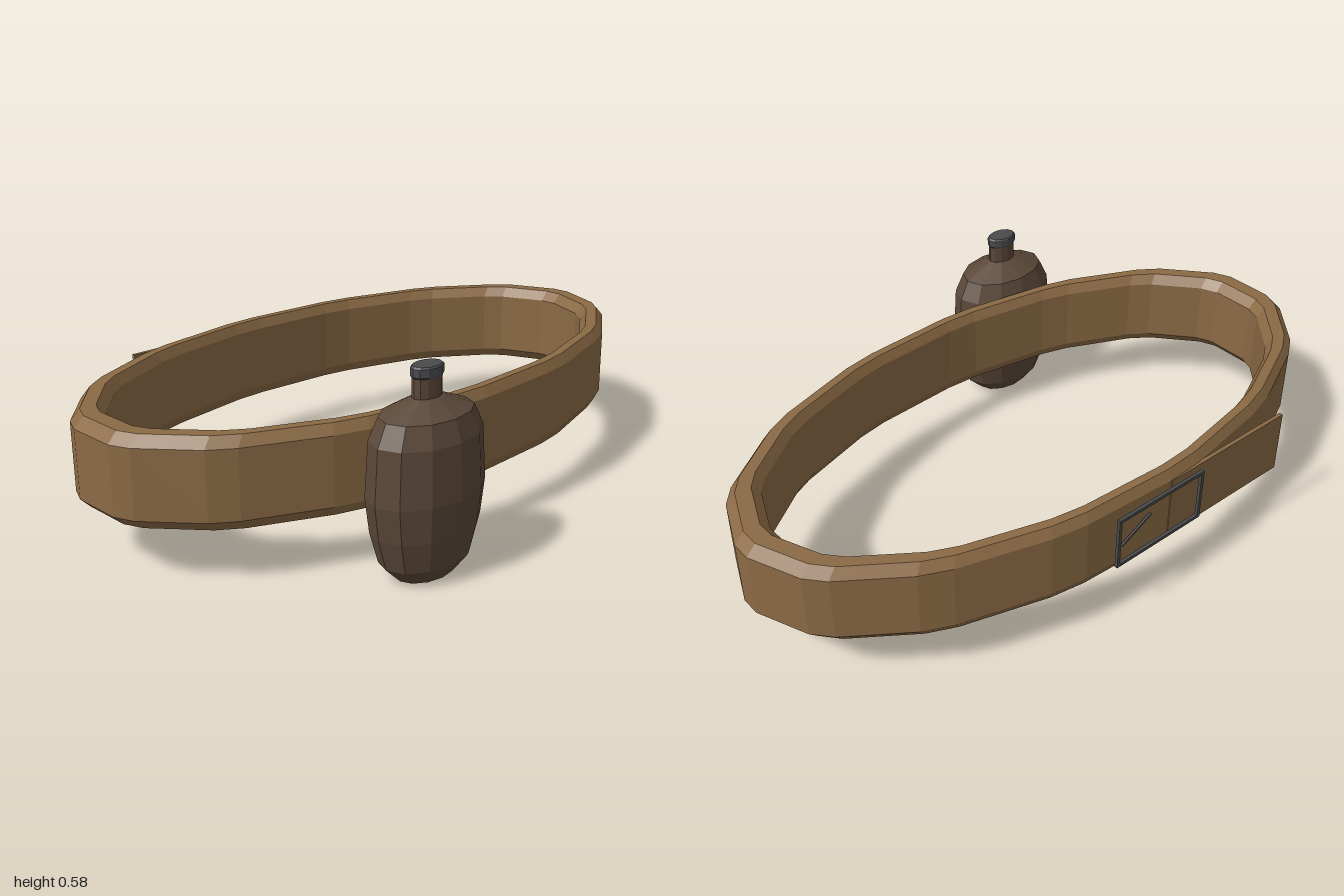
import * as THREE from 'three';

const material = (color) =>
  new THREE.MeshStandardMaterial({ color, flatShading: true });
const leather = material(0x8b6a45);
const flaskBrown = material(0x5b4839);
const metal = material(0x4a4b4d);

function add(parent, name, geometry, mat, x = 0, y = 0, z = 0) {
  const mesh = new THREE.Mesh(geometry, mat);
  mesh.name = name;
  mesh.position.set(x, y, z);
  parent.add(mesh);
  return mesh;
}

// Oval band: a bevelled cross-section swept round 15 chamfered corners
function bandGeometry() {
  const section = [ // [radius factor, height]
    [1, 0.19], [1, 0.39], [0.97, 0.42], [0.922, 0.42],
    [0.895, 0.39], [0.895, 0.19], [0.922, 0.16], [0.97, 0.16],
  ];
  const angles = [];
  for (let k = 0; k < 15; k++) {
    for (const chamfer of [-3.3, 3.3]) {
      angles.push(THREE.MathUtils.degToRad(k * 24 + chamfer));
    }
  }
  const positions = [];
  const index = [];
  const n = section.length;
  angles.forEach((a, i) => {
    const next = (i + 1) % angles.length;
    section.forEach(([r, y], j) => {
      positions.push(-0.09 + 0.523 * r * Math.sin(a), y, 0.005 - 1.006 * r * Math.cos(a));
      const up = (j + 1) % n;
      const p = i * n + j, q = i * n + up, s = next * n + up, t = next * n + j;
      index.push(p, q, s, p, s, t);
    });
  });
  const geometry = new THREE.BufferGeometry();
  geometry.setAttribute('position', new THREE.Float32BufferAttribute(positions, 3));
  geometry.setIndex(index);
  const flat = geometry.toNonIndexed();
  flat.computeVertexNormals();
  return flat;
}

// Thin rectangular buckle frame with a slanted prong
function createBuckle() {
  const buckle = new THREE.Group();
  buckle.name = 'buckle';
  for (const side of [-1, 1]) {
    add(buckle, 'frameUpright', new THREE.BoxGeometry(0.01, 0.17, 0.01),
      metal, 0, 0, side * 0.16);
    add(buckle, 'frameRail', new THREE.BoxGeometry(0.01, 0.01, 0.33),
      metal, 0, side * 0.08, 0);
  }
  const prongPath = new THREE.LineCurve3(
    new THREE.Vector3(0, -0.015, -0.15), new THREE.Vector3(0.02, 0.015, -0.02));
  add(buckle, 'prong', new THREE.TubeGeometry(prongPath, 1, 0.005, 5), metal);
  buckle.position.set(-0.63, 0.295, -0.005);
  return buckle;
}

// Flattened flask with a neck and a cap
function createFlask() {
  const flask = new THREE.Group();
  flask.name = 'flask';
  const profile = [
    [0, 0], [0.065, 0], [0.1, 0.05], [0.118, 0.14], [0.127, 0.24],
    [0.12, 0.395], [0.1, 0.455], [0.032, 0.495], [0.032, 0.55],
  ].map(([r, y]) => new THREE.Vector2(r, y));
  add(flask, 'flaskBody', new THREE.LatheGeometry(profile, 12), flaskBrown);
  const capProfile = [
    [0, 0.548], [0.032, 0.548], [0.035, 0.553], [0.035, 0.575], [0.031, 0.58], [0, 0.58],
  ].map(([r, y]) => new THREE.Vector2(r, y));
  add(flask, 'flaskCap', new THREE.LatheGeometry(capProfile, 12), metal);
  flask.scale.z = 1.48;
  flask.position.set(0.503, 0, 0.375);
  return flask;
}

export function createModel() {
  const model = new THREE.Group();
  model.name = 'beltWithFlask';
  add(model, 'beltBand', bandGeometry(), leather);
  // Loose strap end lying along the side
  add(model, 'strapEnd', new THREE.BoxGeometry(0.012, 0.2, 0.47), leather, -0.609, 0.29, 0.285);
  model.add(createBuckle(), createFlask());
  return model;
}
